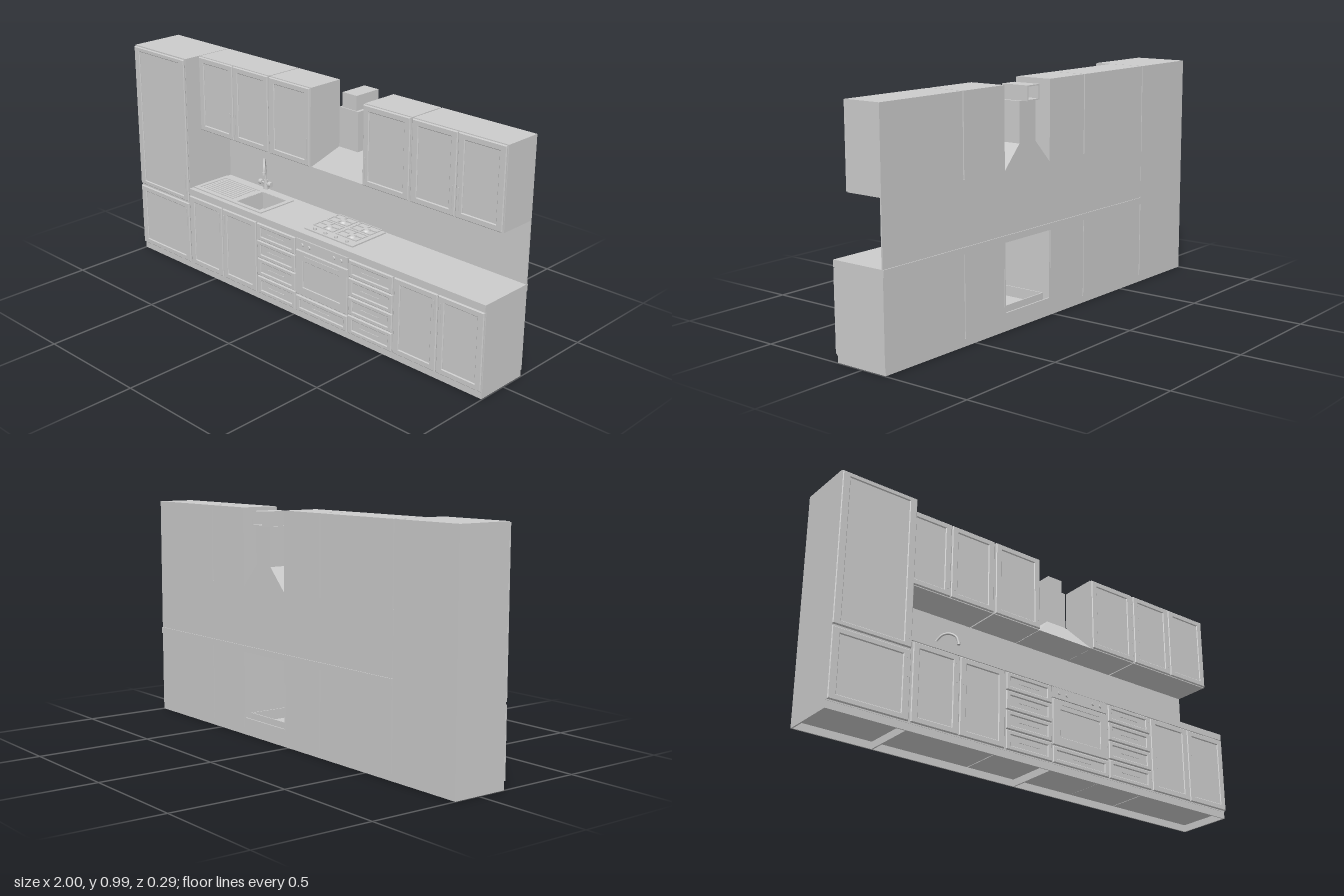
import * as THREE from 'three';

const mat = new THREE.MeshStandardMaterial({ color: 0xcccccc, side: THREE.DoubleSide });
const BACK = -0.115, FRONT = 0.131, KICK = 0.03, BASE_TOP = 0.365, COUNTER = 0.393;
const WALL_Y = 0.652, TOP = 0.987, WALL_FRONT = 0.052;

function add(parent, name, geo, x = 0, y = 0, z = 0) {
  const m = new THREE.Mesh(geo, mat);
  m.name = name;
  m.position.set(x, y, z);
  parent.add(m);
  return m;
}

// box given by its limits
function box(parent, name, x0, x1, y0, y1, z0, z1) {
  return add(parent, name, new THREE.BoxGeometry(x1 - x0, y1 - y0, z1 - z0),
    (x0 + x1) / 2, (y0 + y1) / 2, (z0 + z1) / 2);
}

function rect(P, x0, x1, y0, y1) {
  const p = new P();
  p.moveTo(x0, y0); p.lineTo(x1, y0); p.lineTo(x1, y1); p.lineTo(x0, y1); p.closePath();
  return p;
}

// flat plate in xy with rectangular holes, grown along z
function plate(x0, x1, y0, y1, holes, depth, bevel = 0) {
  const s = rect(THREE.Shape, x0 + bevel, x1 - bevel, y0 + bevel, y1 - bevel);
  for (const [a, b, c, d] of holes) s.holes.push(rect(THREE.Path, a - bevel, b + bevel, c - bevel, d + bevel));
  return new THREE.ExtrudeGeometry(s, { depth: depth - bevel, bevelEnabled: bevel > 0,
    bevelThickness: bevel, bevelSize: bevel, bevelSegments: 1 });
}

// slim bar handle on two posts
function handle(parent, x, y, z, length, vertical) {
  const g = new THREE.Group();
  g.name = 'handle';
  add(g, 'handleBar', new THREE.BoxGeometry(0.005, length, 0.002), 0, 0, 0.003);
  for (const s of [-1, 1]) add(g, 'handlePost', new THREE.BoxGeometry(0.004, 0.005, 0.004), 0, s * length * 0.4, 0.001);
  if (!vertical) g.rotation.z = Math.PI / 2;
  g.position.set(x, y, z);
  parent.add(g);
}

// framed front with a recessed panel
function framed(parent, name, x0, x1, y0, y1, z, mx, my) {
  const g = new THREE.Group(), e = 0.002;
  g.name = name;
  x0 += e; x1 -= e; y0 += e; y1 -= e;
  add(g, 'frame', plate(x0, x1, y0, y1, [[x0 + mx, x1 - mx, y0 + my, y1 - my]], 0.008, 0.003), 0, 0, z + 0.003);
  box(g, 'panel', x0 + mx - 0.006, x1 - mx + 0.006, y0 + my - 0.006, y1 - my + 0.006, z, z + 0.006);
  parent.add(g);
  return g;
}

// side: -1 or +1 is the handle's edge; hy is the handle's height
function door(parent, x0, x1, y0, y1, z, side, hy, mx = 0.03, my = 0.025) {
  const g = framed(parent, 'door', x0, x1, y0, y1, z, mx, my);
  handle(g, side > 0 ? x1 - 0.016 : x0 + 0.016, hy, z + 0.011, 0.09, true);
}

function drawer(parent, x0, x1, y0, y1) {
  const g = framed(parent, 'drawer', x0, x1, y0, y1, FRONT, 0.022, 0.018);
  handle(g, (x0 + x1) / 2, (y0 + y1) / 2, FRONT + 0.0075, 0.1, false);
}

// open-topped base cabinet made from boards
function carcass(parent, x0, x1, backTop = BASE_TOP) {
  const g = new THREE.Group(), t = 0.006;
  g.name = 'baseCabinet';
  box(g, 'leftBoard', x1 - t, x1, KICK, BASE_TOP, BACK, FRONT);
  box(g, 'rightBoard', x0, x0 + t, KICK, BASE_TOP, BACK, FRONT);
  box(g, 'floorBoard', x0 + t, x1 - t, KICK, KICK + t, BACK, FRONT);
  box(g, 'backBoard', x0 + t, x1 - t, KICK + t, backTop, BACK, BACK + t);
  box(g, 'frontBoard', x0 + t, x1 - t, KICK + t, BASE_TOP, FRONT - t, FRONT);
  parent.add(g);
  return g;
}

function tallUnit(root) {
  const g = new THREE.Group();
  g.name = 'tallCabinet';
  box(g, 'tallBody', -1, -0.657, KICK, TOP, BACK, FRONT);
  door(g, -1, -0.657, 0.032, 0.322, FRONT, 1, 0.25, 0.034, 0.024);
  door(g, -1, -0.657, 0.328, 0.985, FRONT, 1, 0.41, 0.034, 0.02);
  root.add(g);
}

function baseUnits(root) {
  for (const [x0, x1] of [[-0.652, -0.217], [0.562, 1]]) {
    const g = carcass(root, x0, x1), mid = (x0 + x1) / 2;
    door(g, x0, mid, 0.032, 0.363, FRONT, 1, 0.29);
    door(g, mid, x1, 0.032, 0.363, FRONT, -1, 0.29);
  }
  const levels = [0.032, 0.117, 0.2, 0.283, 0.363];
  for (const [x0, x1] of [[-0.213, 0.02], [0.32, 0.558]]) {
    const g = carcass(root, x0, x1);
    for (let i = 0; i < 4; i++) drawer(g, x0, x1, levels[i], levels[i + 1]);
  }
  // plinth: front, back and cross boards
  box(root, 'plinthFront', -1, 0.997, 0, KICK, FRONT - 0.006, FRONT - 0.001);
  box(root, 'plinthBack', -1, 0.997, 0, KICK, BACK, BACK + 0.006);
  for (const x of [-1, -0.66, 0.017, 0.991]) box(root, 'plinthCross', x, x + 0.006, 0, KICK, BACK, FRONT - 0.001);
}

function oven(root) {
  const g = carcass(root, 0.021, 0.319, 0.075);
  g.name = 'ovenUnit';
  drawer(g, 0.021, 0.319, 0.032, 0.107);
  // open drawer tray inside the cavity
  for (const [a, b, c, d] of [[0.035, 0.04, -0.09, 0.12], [0.3, 0.305, -0.09, 0.12], [0.04, 0.3, -0.09, -0.085]])
    box(g, 'trayWall', a, b, 0.05, 0.095, c, d);
  box(g, 'trayFloor', 0.035, 0.305, 0.046, 0.05, -0.09, 0.12);
  // door with window, control panel and knobs
  add(g, 'ovenDoor', plate(0.024, 0.316, 0.111, 0.312, [[0.065, 0.275, 0.15, 0.268]], 0.008, 0.002), 0, 0, FRONT + 0.002);
  box(g, 'ovenWindow', 0.06, 0.28, 0.145, 0.273, FRONT, FRONT + 0.006);
  box(g, 'controlPanel', 0.024, 0.316, 0.316, 0.363, FRONT, FRONT + 0.008);
  box(g, 'ovenHandle', 0.07, 0.27, 0.289, 0.294, FRONT + 0.008, FRONT + 0.013);
  for (const x of [0.06, 0.1, 0.24, 0.28])
    add(g, 'ovenKnob', new THREE.CylinderGeometry(0.007, 0.008, 0.005, 16).rotateX(Math.PI / 2), x, 0.34, FRONT + 0.0105);
}

function worktop(root) {
  // counter with sink opening: shape y becomes -z
  const geo = plate(-0.655, 1, -0.137, 0.119, [[-0.388, -0.232, -0.1, 0.06]], COUNTER - BASE_TOP).rotateX(-Math.PI / 2);
  add(root, 'counter', geo, 0, BASE_TOP, 0);
  box(root, 'backsplash', -0.655, 1, COUNTER, WALL_Y, BACK, BACK + 0.006);
}

function sink(root) {
  const g = new THREE.Group(), y = COUNTER;
  g.name = 'sink';
  add(g, 'sinkRim', plate(-0.65, -0.215, -0.115, 0.085, [[-0.385, -0.235, -0.097, 0.057], [-0.63, -0.4, -0.097, 0.057]], 0.005)
    .rotateX(-Math.PI / 2), 0, y, 0);
  box(g, 'drainboard', -0.632, -0.398, y, y + 0.002, -0.06, 0.1);
  for (let i = 0; i < 9; i++) box(g, 'drainRidge', -0.615, -0.42, y, y + 0.005, -0.045 + i * 0.016, -0.041 + i * 0.016);
  box(g, 'bowlFloor', -0.387, -0.233, 0.315, 0.319, -0.059, 0.099);
  for (const x of [-0.387, -0.236]) box(g, 'bowlSide', x, x + 0.003, 0.319, y + 0.004, -0.059, 0.099);
  for (const z of [-0.059, 0.096]) box(g, 'bowlEnd', -0.387, -0.233, 0.319, y + 0.004, z, z + 0.003);
  add(g, 'drain', new THREE.CylinderGeometry(0.014, 0.014, 0.003, 20), -0.31, 0.32, 0.02);
  // faucet: body, cross valves, arched spout
  add(g, 'faucetBody', new THREE.CylinderGeometry(0.008, 0.011, 0.045, 20), -0.41, y + 0.022, -0.1);
  add(g, 'valveBar', new THREE.CylinderGeometry(0.005, 0.005, 0.05, 12).rotateZ(Math.PI / 2), -0.41, 0.421, -0.1);
  for (const s of [-1, 1])
    add(g, 'valveKnob', new THREE.CylinderGeometry(0.012, 0.012, 0.016, 16).rotateZ(Math.PI / 2), -0.41 + s * 0.029, 0.421, -0.1);
  const path = new THREE.CatmullRomCurve3([[-0.41, 0.43, -0.1], [-0.409, 0.47, -0.1], [-0.4, 0.52, -0.087],
    [-0.382, 0.549, -0.066], [-0.362, 0.554, -0.047], [-0.341, 0.538, -0.027], [-0.334, 0.505, -0.018]]
    .map(p => new THREE.Vector3(...p)));
  add(g, 'spout', new THREE.TubeGeometry(path, 40, 0.005, 12));
  add(g, 'spoutTip', new THREE.CylinderGeometry(0.006, 0.007, 0.012, 16), -0.334, 0.507, -0.018);
  root.add(g);
}

function hob(root) {
  const g = new THREE.Group(), y = COUNTER;
  g.name = 'hob';
  box(g, 'hobPlate', 0.035, 0.305, y, y + 0.006, -0.1, 0.1);
  for (const x of [0.105, 0.235]) for (const z of [-0.057, 0.028]) {
    add(g, 'burner', new THREE.CylinderGeometry(0.018, 0.022, 0.007, 20), x, y + 0.009, z);
    // pan support: square ring with four fingers
    const ring = plate(-0.056, 0.056, -0.037, 0.037, [[-0.052, 0.052, -0.033, 0.033]], 0.004).rotateX(-Math.PI / 2);
    add(g, 'panSupport', ring, x, y + 0.011, z);
    for (const s of [-1, 1]) {
      box(g, 'supportFinger', x + s * 0.035 - 0.019, x + s * 0.035 + 0.019, y + 0.012, y + 0.017, z - 0.002, z + 0.002);
      box(g, 'supportFinger', x - 0.002, x + 0.002, y + 0.012, y + 0.017, z + s * 0.023 - 0.012, z + s * 0.023 + 0.012);
    }
  }
  for (let i = 0; i < 4; i++)
    add(g, 'hobKnob', new THREE.CylinderGeometry(0.007, 0.008, 0.01, 16), 0.08 + i * 0.06, y + 0.01, 0.085);
  root.add(g);
}

function wallUnits(root) {
  for (const [x0, x1, n] of [[-0.652, -0.217, 2], [-0.211, 0.026, 1], [0.316, 0.557, 1], [0.563, 1, 2]]) {
    const g = new THREE.Group(), w = (x1 - x0) / n;
    g.name = 'wallCabinet';
    box(g, 'wallBody', x0, x1, WALL_Y, TOP, BACK, WALL_FRONT);
    for (let i = 0; i < n; i++) {
      const side = n === 2 ? (i ? -1 : 1) : (x0 < 0 ? 1 : -1);
      door(g, x0 + i * w, x0 + (i + 1) * w, WALL_Y, TOP, WALL_FRONT, side, 0.73);
    }
    root.add(g);
  }
}

function hood(root) {
  const g = new THREE.Group();
  g.name = 'hood';
  // tapered canopy: pull the top corners in to the chimney
  const geo = new THREE.BoxGeometry(1, 1, 1), p = geo.attributes.position;
  for (let i = 0; i < p.count; i++) {
    const up = p.getY(i) > 0, right = p.getX(i) > 0, front = p.getZ(i) > 0;
    p.setXYZ(i, up ? (right ? 0.224 : 0.122) : (right ? 0.315 : 0.028), up ? 0.748 : WALL_Y,
      front ? (up ? -0.012 : 0.052) : BACK);
  }
  geo.computeVertexNormals();
  add(g, 'canopy', geo);
  box(g, 'chimney', 0.122, 0.224, 0.748, 0.916, BACK, -0.012);
  // hollow outlet duct opening to the back
  add(g, 'outletDuct', plate(0.134, 0.21, 0.916, 0.978, [[0.139, 0.205, 0.921, 0.973]], 0.125), 0, 0, -0.145);
  box(g, 'outletCap', 0.134, 0.21, 0.916, 0.978, -0.021, -0.017);
  root.add(g);
}

export function createModel() {
  const root = new THREE.Group();
  root.name = 'kitchen';
  for (const build of [tallUnit, baseUnits, oven, worktop, sink, hob, wallUnits, hood]) build(root);
  return root;
}
